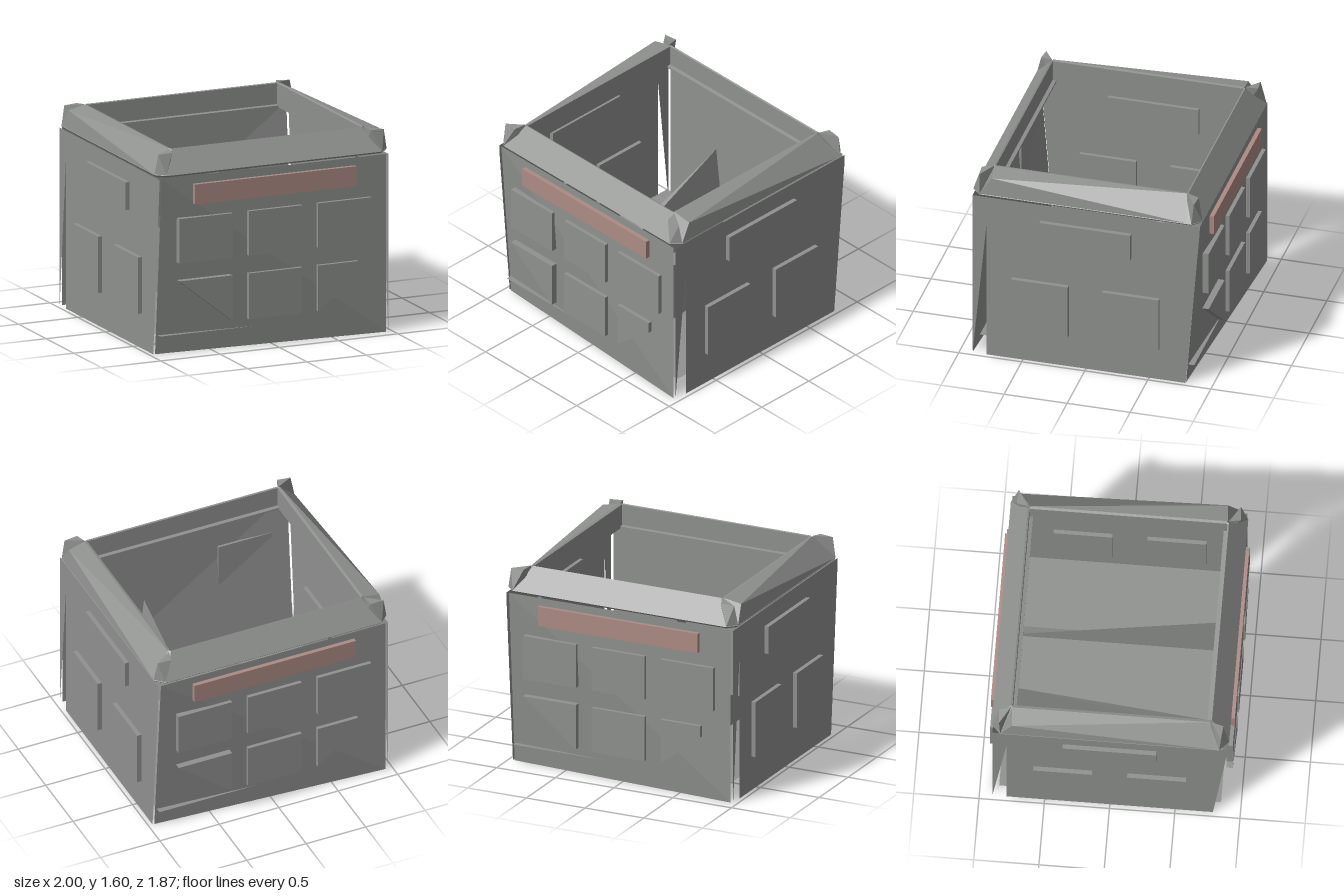
import * as THREE from 'three';
import { ConvexGeometry } from 'three/addons/geometries/ConvexGeometry.js';

const grey = new THREE.MeshStandardMaterial({ color: 0x8f918f, flatShading: true, side: THREE.DoubleSide });
grey.name = 'concreteGrey';
const pink = new THREE.MeshStandardMaterial({ color: 0xad8b84, flatShading: true });
pink.name = 'dustyPink';

function add(parent, name, geometry, material = grey) {
  const mesh = new THREE.Mesh(geometry, material);
  mesh.name = name;
  parent.add(mesh);
  return mesh;
}

const polygon = (pts) => new THREE.Shape(pts.map(([x, y]) => new THREE.Vector2(x, y)));

// flat sheet at depth z
const sheet = (pts, z) => new THREE.ShapeGeometry(polygon(pts)).translate(0, 0, z);

// slab from depth z0 to z1
const slab = (pts, z0, z1) =>
  new THREE.ExtrudeGeometry(polygon(pts), { depth: z1 - z0, bevelEnabled: false }).translate(0, 0, z0);

const rect = (x0, y0, x1, y1) => [[x0, y0], [x1, y0], [x1, y1], [x0, y1]];

const hull = (pts) => new ConvexGeometry(pts.map((p) => new THREE.Vector3(...p)));

// indexed triangles with flat normals
function faceted(pos, index) {
  const g = new THREE.BufferGeometry();
  g.setAttribute('position', new THREE.Float32BufferAttribute(pos, 3));
  g.setIndex(index);
  const flat = g.toNonIndexed();
  flat.computeVertexNormals();
  return flat;
}

// front or back: wall, six panels and a coloured band
function createLongSide(name) {
  const g = new THREE.Group();
  g.name = name;
  // one lower corner of the wall is pushed in to meet the short wall
  add(g, 'longWall', faceted(
    [-0.95, 0, 0.79, 0.945, 0, 0.9, 0.945, 1.4, 0.9, -0.945, 1.4, 0.9],
    [0, 1, 3, 1, 2, 3],
  ));
  for (const x of [-0.585, 0, 0.585]) {
    const l = x - 0.225, r = x + 0.225;
    const inner = x < 0 ? 0.88 : 0.9;
    add(g, 'upperPanel', slab(rect(l, 0.73, r, 1.08), inner, 0.93));
    // outer lower panels are broken along a diagonal
    let lower = rect(l, 0.23, r, 0.59);
    if (x < 0) lower = [[r, 0.23], [r, 0.59], [l, 0.59]];
    if (x > 0) lower = [[l, 0.23], [r - 0.11, 0.5], [r - 0.11, 0.59], [l, 0.59]];
    add(g, 'lowerPanel', slab(lower, inner, 0.93));
  }
  add(g, 'colouredBand', slab(rect(-0.68, 1.185, 0.68, 1.34), 0.901, 0.935), pink);
  return g;
}

// side: wall with open corner wedges and three panels
function createShortSide(name) {
  const g = new THREE.Group();
  g.name = name;
  add(g, 'shortWall', sheet([
    [-0.9, 0], [-0.79, 1.15], [-0.79, 0], [0.79, 0],
    [0.9, 1.33], [0.9, 1.4], [-0.9, 1.4],
  ], 0.965));
  add(g, 'widePanel', slab(rect(-0.36, 1.04, 0.36, 1.26), 0.935, 1));
  for (const x of [-0.36, 0.36]) {
    add(g, 'squarePanel', slab(rect(x - 0.225, 0.275, x + 0.225, 0.72), 0.935, 1));
  }
  // rim crest, high at one end and sinking to the outer edge at the other
  add(g, 'rimCrest', hull([
    [-0.75, 1.57, 0.96], [-0.84, 1.43, 0.978], [0.8, 1.43, 0.978],
    [-0.76, 1.6, 0.82], [0.76, 1.6, 0.82],
  ]));
  return g;
}

// chamfered ring lofted through levels of [halfX, halfZ, cornerCut, y]
function createRimGeometry() {
  const levels = [
    [0.8, 0.73, 0.001, 1.41], [0.965, 0.895, 0.06, 1.41], [0.98, 0.91, 0.07, 1.425],
    [0.82, 0.77, 0.02, 1.6], [0.8, 0.758, 0.001, 1.595], [0.8, 0.758, 0.001, 1.43],
    [0.8, 0.73, 0.001, 1.425], [0.8, 0.73, 0.001, 1.41],
  ];
  const pos = [], index = [];
  for (const [x, z, c, y] of levels) {
    for (const [px, pz] of [
      [x, -z + c], [x, z - c], [x - c, z], [-x + c, z],
      [-x, z - c], [-x, -z + c], [-x + c, -z], [x - c, -z],
    ]) pos.push(px, y, pz);
  }
  for (let j = 0; j < levels.length - 1; j++) {
    for (let i = 0; i < 8; i++) {
      const n = (i + 1) % 8;
      const a = j * 8 + i, b = j * 8 + n, d = a + 8, e = b + 8;
      index.push(a, d, b, b, d, e);
    }
  }
  return faceted(pos, index);
}

// wedge-shaped partition, tall at one end (zTall) and low at the other
function createPartition(x, zTall) {
  const g = slab([[x, 0.15], [x + 0.08, 0.15], [x, 0.82]], -0.83, 0.83);
  const p = g.attributes.position;
  for (let i = 0; i < p.count; i++) {
    if (p.getY(i) > 0.5 && p.getZ(i) * zTall < 0) p.setY(i, 0.18);
  }
  g.computeVertexNormals();
  return g;
}

export function createModel() {
  const model = new THREE.Group();
  model.name = 'openBox';

  // four sides
  model.add(createLongSide('frontSide'));
  const back = createLongSide('backSide');
  back.rotation.y = Math.PI;
  model.add(back);
  for (const s of [1, -1]) {
    const side = createShortSide(s > 0 ? 'leftSide' : 'rightSide');
    side.rotation.y = s * Math.PI / 2;
    model.add(side);
  }

  // raised floor with two partitions
  const floor = add(model, 'floor', new THREE.PlaneGeometry(1.87, 1.7));
  floor.rotation.x = -Math.PI / 2;
  floor.position.y = 0.15;
  add(model, 'partition', createPartition(-0.37, -1));
  add(model, 'partition', createPartition(0.29, 1));

  // rim with a faceted peak at each corner
  add(model, 'rim', createRimGeometry());
  for (const sx of [1, -1]) {
    for (const sz of [1, -1]) {
      add(model, 'cornerPeak', hull([
        [0.978, 1.43, 0.84], [0.91, 1.43, 0.908], [0.95, 1.585, 0.85],
        [0.82, 1.6, 0.77], [0.84, 1.59, 0.86], [0.82, 1.43, 0.77],
      ].map(([x, y, z]) => [sx * x, y, sz * z])));
    }
  }
  return model;
}
